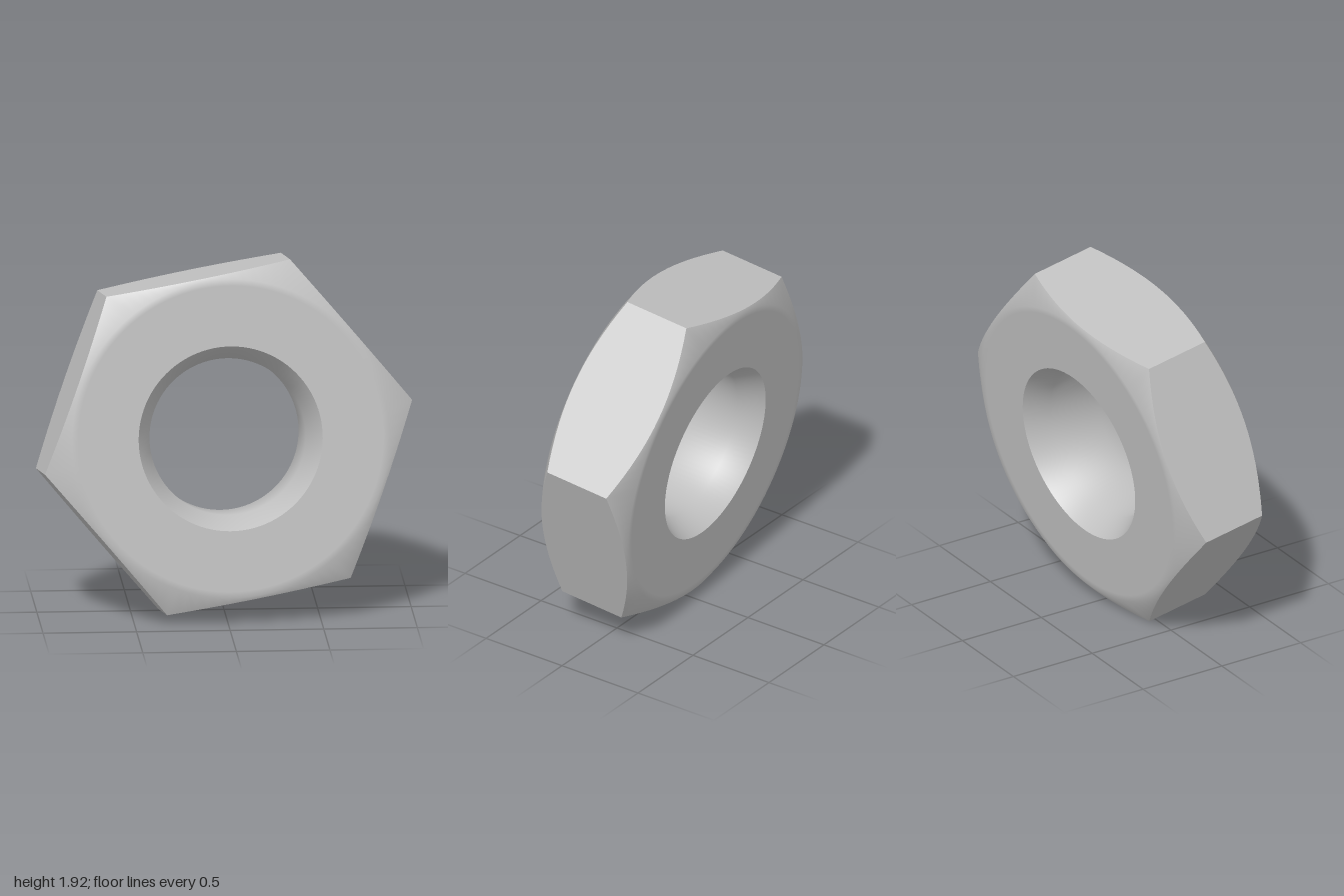
import * as THREE from 'three';
import { toCreasedNormals } from 'three/addons/utils/BufferGeometryUtils.js';

const CORNER = 1.005;                         // radius to the hexagon corners
const FLAT = CORNER * Math.cos(Math.PI / 6);  // radius to the middle of the flats
const HALF = 0.275;                           // half thickness
const CHAMFER_START = 0.853;
const SEGMENTS = 96;                          // multiple of six, so corners are sharp

// Cross-section of the nut at one angle: a closed loop of [radius, height]
function section(angle) {
  const sector = Math.PI / 3;
  const offset = angle - Math.floor(angle / sector + 1e-9) * sector - sector / 2;
  const rim = FLAT / Math.cos(offset);
  const rimHeight = HALF - (rim - CHAMFER_START) * Math.tan(Math.PI / 6);
  const front = [
    [0.42, 0.145],            // bore
    [0.495, HALF],            // countersink rim
    [0.82, HALF],             // flat face
    [CHAMFER_START, HALF],    // start of the conical chamfer
    [rim, rimHeight],         // scalloped edge of the side
  ];
  const back = front.map(([r, h]) => [r, -h]).reverse();
  return [...front, ...back];
}

function nutGeometry() {
  const positions = [];
  const indices = [];
  const count = section(0).length;
  for (let i = 0; i < SEGMENTS; i++) {
    const angle = (i / SEGMENTS) * Math.PI * 2;
    for (const [r, h] of section(angle)) {
      positions.push(r * Math.cos(angle), r * Math.sin(angle), h);
    }
    const next = (i + 1) % SEGMENTS;
    for (let j = 0; j < count; j++) {
      const k = (j + 1) % count;
      const a = i * count + j, b = i * count + k;
      const c = next * count + k, d = next * count + j;
      indices.push(a, b, c, a, c, d);
    }
  }
  const geometry = new THREE.BufferGeometry();
  geometry.setAttribute('position', new THREE.Float32BufferAttribute(positions, 3));
  geometry.setIndex(indices);
  return toCreasedNormals(geometry, THREE.MathUtils.degToRad(36));
}

export function createModel() {
  const steel = new THREE.MeshStandardMaterial({ color: 0xc0c0c0 });
  steel.name = 'steel';

  const nut = new THREE.Mesh(nutGeometry(), steel);
  nut.name = 'hexNut';

  // Tilt: the bore axis leans up and to the side, one corner points along +x
  const axis = new THREE.Vector3(0.065, 0.13, 0.989).normalize();
  const corner = new THREE.Vector3(0.987, 0.17, -0.087);
  const across = new THREE.Vector3().crossVectors(axis, corner).normalize();
  corner.crossVectors(across, axis);
  nut.quaternion.setFromRotationMatrix(new THREE.Matrix4().makeBasis(corner, across, axis));
  nut.position.y = 0.965;

  const group = new THREE.Group();
  group.name = 'nut';
  group.add(nut);
  return group;
}
